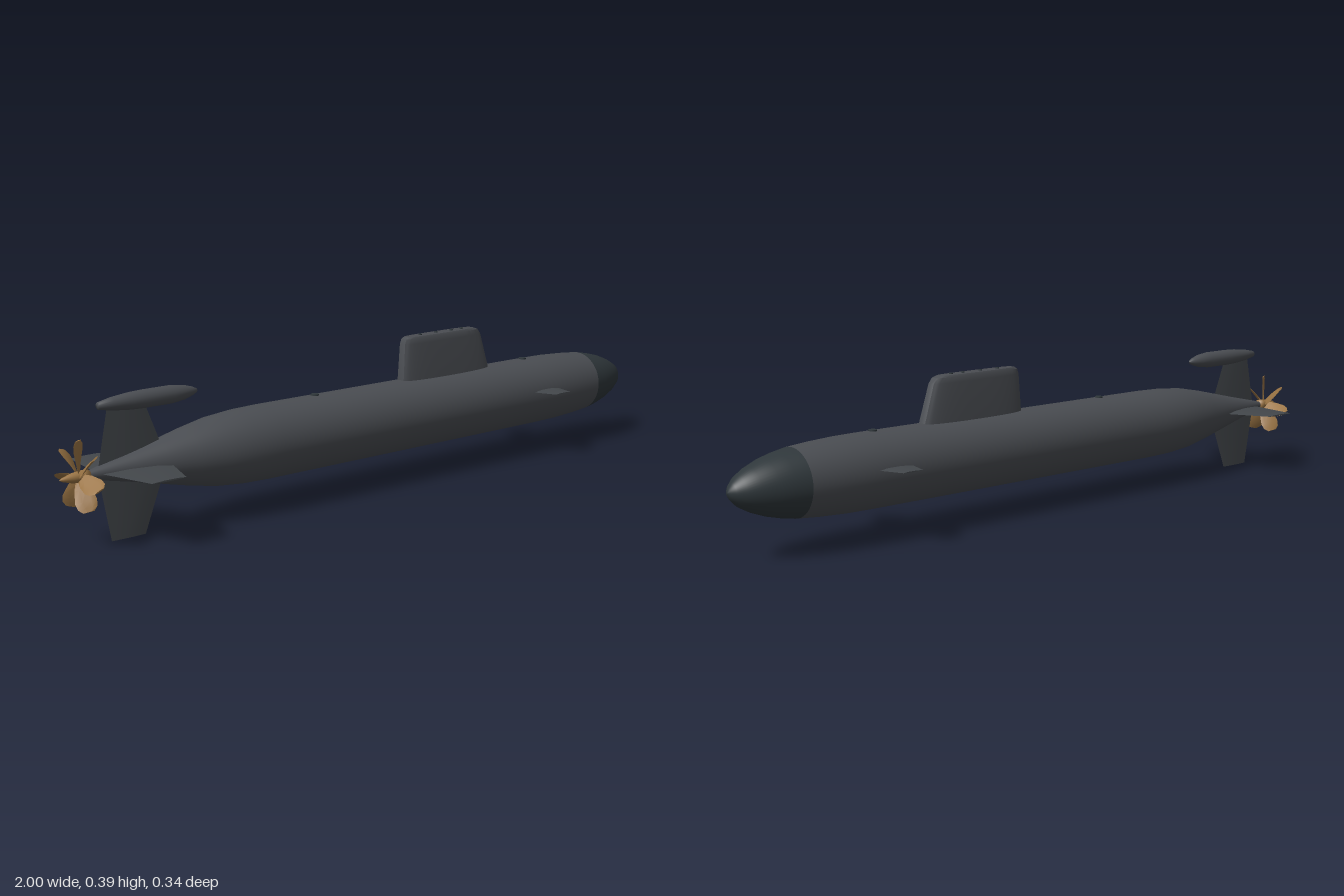
import * as THREE from 'three';
import { toCreasedNormals } from 'three/addons/utils/BufferGeometryUtils.js';

const AXIS_Y = 0.172;
const paint = (color) => new THREE.MeshStandardMaterial({ color });
const hullPaint = paint(0x4a4d52);
const finPaint = paint(0x43474b);
const nosePaint = paint(0x2f373b);
const bronze = paint(0x9a7444);

function add(parent, name, geometry, material, x = 0, y = 0, z = 0) {
  const mesh = new THREE.Mesh(geometry, material);
  mesh.name = name;
  mesh.position.set(x, y, z);
  parent.add(mesh);
  return mesh;
}

// Body of revolution along x from [x, radius] pairs, tail to nose
function revolve(profile, segments = 48) {
  const points = profile.map(([x, r]) => new THREE.Vector2(r, x));
  return new THREE.LatheGeometry(points, segments).rotateZ(-Math.PI / 2);
}

// Closed skin over rings stacked upwards, with both ends capped
function loft(rings, crease = 0.5) {
  const pos = [];
  const tri = (...corners) => corners.forEach((p) => pos.push(p.x, p.y, p.z));
  const n = rings[0].length;
  for (let k = 0; k < rings.length - 1; k++) {
    for (let i = 0; i < n; i++) {
      const j = (i + 1) % n, a = rings[k], b = rings[k + 1];
      tri(a[i], b[i], a[j]);
      tri(b[i], b[j], a[j]);
    }
  }
  for (const [ring, top] of [[rings[0], false], [rings[rings.length - 1], true]]) {
    const c = ring.reduce((s, p) => s.add(p), new THREE.Vector3()).divideScalar(n);
    for (let i = 0; i < n; i++) {
      const j = (i + 1) % n;
      if (top) tri(c, ring[j], ring[i]);
      else tri(c, ring[i], ring[j]);
    }
  }
  const g = new THREE.BufferGeometry();
  g.setAttribute('position', new THREE.Float32BufferAttribute(pos, 3));
  return toCreasedNormals(g, crease);
}

// Thin foil section: pointed edges and a flat middle
function foilRing(x0, x1, y, half) {
  const w = x1 - x0;
  return [[x1, 0], [x1 - 0.25 * w, half], [x0 + 0.35 * w, half], [x0, 0],
    [x0 + 0.35 * w, -half], [x1 - 0.25 * w, -half]]
    .map(([x, z]) => new THREE.Vector3(x, y, z));
}

// Rounded section of the sail
function sailRing(x0, x1, y, half) {
  const ring = [];
  for (let i = 0; i < 36; i++) {
    const a = (i / 36) * Math.PI * 2, c = Math.cos(a), s = Math.sin(a);
    const x = Math.sign(c) * Math.abs(c) ** 0.8 * (x1 - x0) / 2 + (x0 + x1) / 2;
    ring.push(new THREE.Vector3(x, y, Math.sign(s) * Math.abs(s) ** 0.45 * half));
  }
  return ring;
}

export function createModel() {
  const model = new THREE.Group();
  model.name = 'submarine';

  // Hull and darker bow dome
  add(model, 'hull', revolve([
    [-0.93, 0.008], [-0.9, 0.015], [-0.8, 0.036], [-0.72, 0.054], [-0.64, 0.072],
    [-0.56, 0.087], [-0.48, 0.094], [-0.4, 0.096], [0, 0.096], [0.6, 0.096],
    [0.68, 0.095], [0.76, 0.091], [0.82, 0.086],
  ]), hullPaint, 0, AXIS_Y);
  add(model, 'bowDome', revolve([
    [0.82, 0.086], [0.86, 0.079], [0.9, 0.069], [0.94, 0.054],
    [0.97, 0.038], [0.988, 0.022], [0.997, 0.01], [1, 0],
  ]), nosePaint, 0, AXIS_Y);

  // Sail with a bevelled top edge
  add(model, 'sail', loft([
    sailRing(0.083, 0.436, 0.22, 0.0275), sailRing(0.085, 0.42, 0.266, 0.0265),
    sailRing(0.092, 0.388, 0.365, 0.0225), sailRing(0.097, 0.377, 0.379, 0.021),
    sailRing(0.106, 0.362, 0.384, 0.018),
  ]), hullPaint);
  for (const x of [0.16, 0.22, 0.28, 0.32]) {
    add(model, 'mastCap', new THREE.CylinderGeometry(0.005, 0.005, 0.006, 12), nosePaint, x, 0.384);
  }

  // Deck hatches
  for (const x of [-0.22, 0.575]) {
    add(model, 'hatch', new THREE.CylinderGeometry(0.011, 0.011, 0.01, 20), nosePaint, x, 0.266);
  }

  // Four tail fins around the axis
  const tailFin = (tip) => loft([
    foilRing(-0.893, -0.695, 0.005, 0.0045), foilRing(-0.86, -0.762, tip, 0.0018),
  ], 0.1);
  for (const [name, turn, tip] of [['upperRudder', 0, 0.165], ['lowerRudder', Math.PI, AXIS_Y],
    ['leftSternPlane', Math.PI / 2, 0.17], ['rightSternPlane', -Math.PI / 2, 0.17]]) {
    add(model, name, tailFin(tip), finPaint, 0, AXIS_Y).rotation.x = turn;
  }

  // Bow planes
  for (const side of [1, -1]) {
    add(model, 'bowPlane', loft([
      foilRing(0.515, 0.64, 0.06, 0.0042), foilRing(0.547, 0.608, 0.157, 0.0015),
    ], 0.1), finPaint, 0, 0.188).rotation.x = side * Math.PI / 2;
  }

  // Sonar pod on top of the upper rudder
  add(model, 'sonarPod', revolve([
    [-0.887, 0], [-0.887, 0.009], [-0.85, 0.016], [-0.8, 0.021], [-0.76, 0.0225],
    [-0.68, 0.0225], [-0.64, 0.018], [-0.615, 0.011], [-0.602, 0.005], [-0.598, 0],
  ], 20), hullPaint, 0, 0.332);

  // Propeller: hub with seven pitched blades
  const propeller = new THREE.Group();
  propeller.name = 'propeller';
  propeller.position.set(-0.945, AXIS_Y, 0);
  add(propeller, 'hub', revolve([
    [-0.055, 0], [-0.045, 0.005], [-0.02, 0.012], [0.01, 0.015], [0.025, 0.014], [0.025, 0],
  ], 20), bronze);
  const blade = loft([[0.008, 0.011, 0.9], [0.03, 0.02, 0.75], [0.06, 0.026, 0.6],
    [0.076, 0.023, 0.52], [0.086, 0.013, 0.48]].map(([y, half, pitch]) =>
    foilRing(-half, half, y, 0.002).map((p) => p.applyAxisAngle(new THREE.Vector3(0, 1, 0), pitch))), 0.3);
  for (let i = 0; i < 7; i++) {
    add(propeller, 'blade', blade, bronze).rotation.x = (i / 7) * Math.PI * 2;
  }
  model.add(propeller);
  return model;
}
